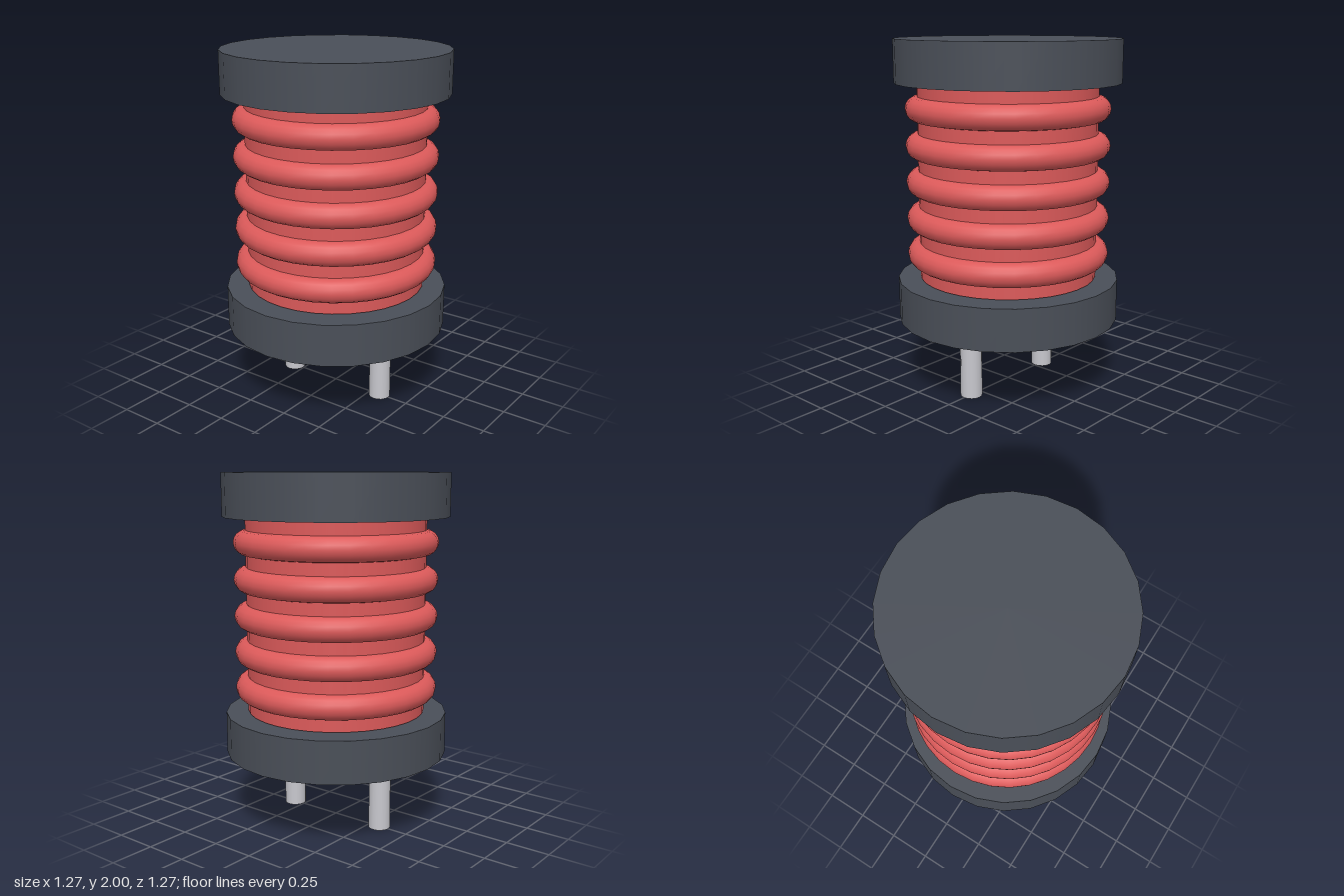
import * as THREE from 'three';

export function createModel() {
  const group = new THREE.Group();
  const ferrite = new THREE.MeshStandardMaterial({ color: 0x4a4f58 });
  ferrite.name = 'dark ferrite';
  const copper = new THREE.MeshStandardMaterial({ color: 0xdc5a5a });
  copper.name = 'red enamel wire';
  const metal = new THREE.MeshStandardMaterial({ color: 0xc8c8ce });
  metal.name = 'tinned metal';

  // Upright cylinder between two heights
  function post(name, radius, y0, y1, material, x = 0, sides = 24) {
    const mesh = new THREE.Mesh(new THREE.CylinderGeometry(radius, radius, y1 - y0, sides), material);
    mesh.name = name;
    mesh.position.set(x, (y0 + y1) / 2, 0);
    group.add(mesh);
  }

  // Ferrite bobbin: thin core with two wide flanges
  post('core', 0.127, 0.6, 1.8, ferrite);
  post('coreFoot', 0.19, 0.393, 0.45, ferrite);
  post('bottomFlange', 0.633, 0.412, 0.65, ferrite);
  post('topFlange', 0.633, 1.76, 2, ferrite);

  // Winding body with raised turns of wire
  post('windingBody', 0.507, 0.658, 1.753, copper, 0, 32);
  const turn = new THREE.TorusGeometry(0.507, 0.068, 16, 32);
  turn.rotateX(Math.PI / 2);
  for (let i = 0; i < 5; i++) {
    const mesh = new THREE.Mesh(turn, copper);
    mesh.name = 'wireTurn' + (i + 1);
    mesh.position.y = 0.795 + i * 0.206;
    group.add(mesh);
  }

  // Solder pins
  post('rightPin', 0.062, 0, 0.43, metal, -0.317, 16);
  post('leftPin', 0.062, 0, 0.43, metal, 0.317, 16);

  return group;
}
